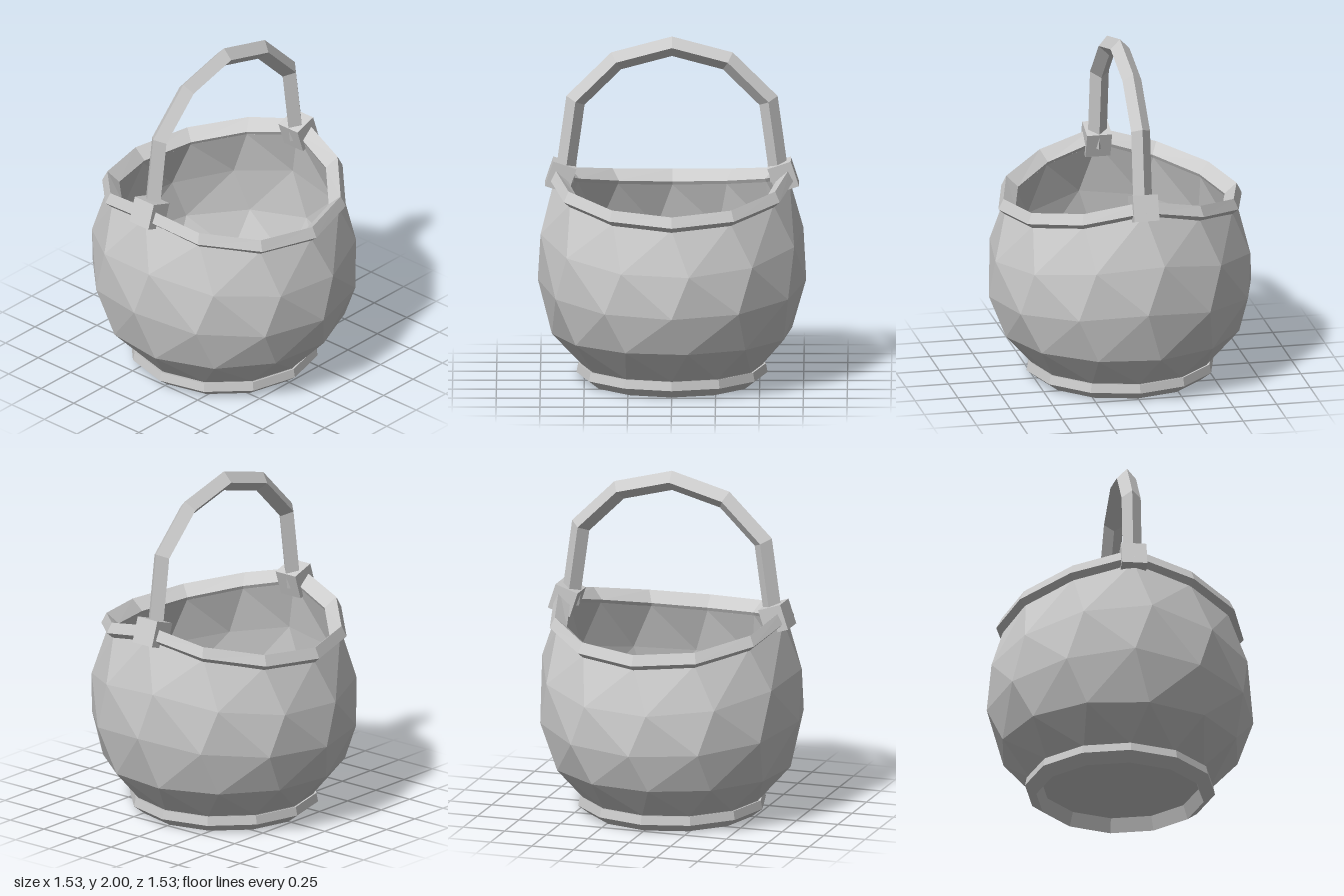
import * as THREE from 'three';

const SIDES = 12;
const material = new THREE.MeshStandardMaterial({ color: 0xcccccc, flatShading: true });

function meshFrom(name, triangles) {
  const geometry = new THREE.BufferGeometry().setFromPoints(triangles);
  geometry.computeVertexNormals();
  const mesh = new THREE.Mesh(geometry, material);
  mesh.name = name;
  return mesh;
}

// Twelve-sided loft. Each ring is [radius, y at the sides, dip towards front and back, twist in degrees].
function loft(name, rings) {
  const point = ([r, y, dip = 0, twist = 0], k) => {
    const base = (k / SIDES) * Math.PI * 2;
    const a = base + THREE.MathUtils.degToRad(twist);
    return new THREE.Vector3(r * Math.sin(a), y - dip * Math.abs(Math.cos(a)), r * Math.cos(a));
  };
  const triangles = [];
  for (let i = 0; i < rings.length - 1; i++) {
    const low = rings[i], high = rings[i + 1];
    for (let k = 0; k < SIDES; k++) {
      const a = point(low, k), b = point(low, k + 1);
      const c = point(high, k + 1), d = point(high, k);
      // Split every quad along its shorter diagonal
      if (low[0] === 0) triangles.push(a, c, d);
      else if (high[0] === 0) triangles.push(a, b, d);
      else if ((high[3] || 0) > (low[3] || 0)) triangles.push(a, b, d, b, c, d);
      else triangles.push(a, b, c, a, c, d);
    }
  }
  return meshFrom(name, triangles);
}

// Diamond-section bar mitred along a path in the xy plane
function diamondBar(name, path, size) {
  const sections = path.map((p, i) => {
    const before = p.clone().sub(path[Math.max(i - 1, 0)]).normalize();
    const after = path[Math.min(i + 1, path.length - 1)].clone().sub(p).normalize();
    const t = before.clone().add(after).normalize();
    const reach = size / Math.max(t.dot(before), t.dot(after));
    const n = new THREE.Vector3(t.y * reach, -t.x * reach, 0);
    const c = new THREE.Vector3(p.x, p.y, 0);
    const z = new THREE.Vector3(0, 0, size);
    return [c.clone().add(n), c.clone().add(z), c.clone().sub(n), c.clone().sub(z)];
  });
  const triangles = [];
  for (let i = 0; i < sections.length - 1; i++) {
    for (let k = 0; k < 4; k++) {
      const m = (k + 1) % 4;
      const a = sections[i][k], b = sections[i][m];
      const c = sections[i + 1][m], d = sections[i + 1][k];
      triangles.push(a, d, c, a, c, b);
    }
  }
  return meshFrom(name, triangles);
}

export function createModel() {
  const group = new THREE.Group();
  group.name = 'basket';

  // Faceted bowl: underside, outer wall, lip, inner wall, floor
  group.add(loft('bowl', [
    [0, 0.08], [0.52, 0.08], [0.52, 0.1],
    [0.69, 0.29, 0, 7.5],
    [0.765, 0.59, 0.08],
    [0.755, 0.89, 0.14, 7.5],
    [0.67, 1.17, 0.16],
    [0.62, 1.17, 0.16],
    [0.69, 0.89, 0.14, 7.5],
    [0.7, 0.59, 0.08],
    [0.63, 0.31, 0, 7.5],
    [0.46, 0.14], [0, 0.14],
  ]));

  // Rim that rises to the handle on both sides
  group.add(loft('rim', [
    [0.64, 1.13, 0.16], [0.71, 1.19, 0.16], [0.68, 1.25, 0.16],
    [0.61, 1.19, 0.16], [0.64, 1.13, 0.16],
  ]));

  // Foot ring
  group.add(loft('footRing', [
    [0.48, 0], [0.545, 0.05], [0.535, 0.1], [0.45, 0.08], [0.48, 0],
  ]));

  // Arched handle, mirrored about the middle
  const half = [[0.615, 1.16], [0.55, 1.63], [0.318, 1.86]];
  const path = [
    ...half.map(([x, y]) => new THREE.Vector2(x, y)),
    new THREE.Vector2(0, 1.945),
    ...half.map(([x, y]) => new THREE.Vector2(-x, y)).reverse(),
  ];
  group.add(diamondBar('handle', path, 0.055));

  // Brackets joining the handle to the rim
  for (const side of [1, -1]) {
    const bracket = new THREE.Mesh(new THREE.BoxGeometry(0.14, 0.15, 0.146), material);
    bracket.name = side > 0 ? 'leftBracket' : 'rightBracket';
    bracket.position.set(side * 0.634, 1.195, 0);
    bracket.rotation.z = side * 0.32;
    group.add(bracket);
  }
  return group;
}
